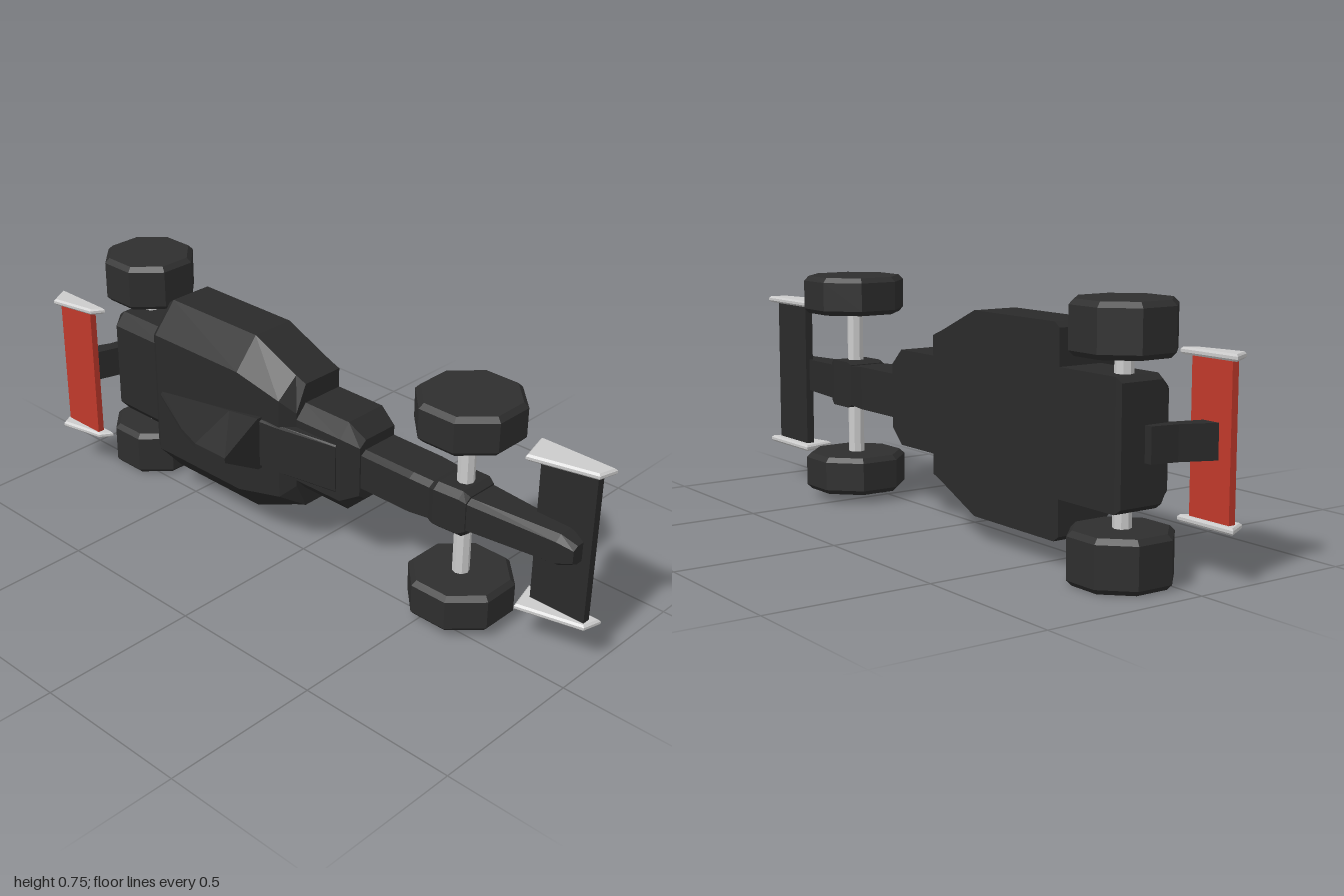
import * as THREE from 'three';

const MID = 0.377; // centre line of the car, which lies with its roof towards +z

const paint = (color) => new THREE.MeshStandardMaterial({ color, flatShading: true });

export function createModel() {
  const car = new THREE.Group();
  car.name = 'racingCar';
  const dark = paint(0x2a2a2a), tyre = paint(0x2e2e2e), red = paint(0xc0392b), grey = paint(0xcccccc);

  const add = (name, geometry, material, x = 0, y = MID, z = 0) => {
    const mesh = new THREE.Mesh(geometry, material);
    mesh.name = name;
    mesh.position.set(x, y, z);
    car.add(mesh);
    return mesh;
  };

  // Skin over chamfered sections: [x, half width, roof half width, floor z, shoulder z, roof z]
  const loft = (stations) => {
    const rings = stations.map(([x, w, t, zb, zs, zt]) =>
      [[-w, zb], [w, zb], [w, zs], [t, zt], [-t, zt], [-w, zs]].map(([y, z]) => [x, y, z]));
    const n = 6, index = [];
    for (let i = 0; i < rings.length - 1; i++) {
      for (let j = 0; j < n; j++) {
        const k = (j + 1) % n, a = i * n + j, b = i * n + k;
        index.push(a, b, b + n, a, b + n, a + n);
      }
    }
    const last = (rings.length - 1) * n;
    for (let j = 1; j < n - 1; j++) {
      index.push(0, j + 1, j, last, last + j, last + j + 1);
    }
    const g = new THREE.BufferGeometry();
    g.setAttribute('position', new THREE.Float32BufferAttribute(rings.flat(2), 3));
    g.setIndex(index);
    const flat = g.toNonIndexed();
    flat.computeVertexNormals();
    return flat;
  };

  // Side profile in x and z, given a thickness across the car
  const plate = (points, width, bevel = 0) => {
    const shape = new THREE.Shape(points.map(([x, z]) => new THREE.Vector2(x, z)));
    const depth = width - 2 * bevel;
    const g = new THREE.ExtrudeGeometry(shape, {
      depth, bevelEnabled: bevel > 0, bevelThickness: bevel, bevelSize: bevel,
      bevelOffset: -bevel, bevelSegments: 1,
    });
    g.translate(0, 0, -depth / 2);
    g.rotateX(Math.PI / 2);
    return g;
  };

  // Body, tail and cockpit front
  add('mainBody', loft([
    [-0.59, 0.285, 0.195, -0.145, 0, 0.072],
    [-0.57, 0.30, 0.205, -0.145, 0, 0.083],
    [-0.2, 0.30, 0.205, -0.145, 0, 0.083],
    [-0.03, 0.225, 0.165, -0.145, 0, 0.075],
    [0.01, 0.21, 0.125, -0.145, 0, 0.04],
  ]), dark);
  add('tail', loft([
    [-0.84, 0.165, 0.125, -0.14, 0, 0.02],
    [-0.82, 0.18, 0.14, -0.145, 0, 0.037],
    [-0.58, 0.18, 0.14, -0.145, 0, 0.037],
  ]), dark);
  add('cockpitFront', loft([
    [0, 0.148, 0.105, -0.145, 0, 0.04],
    [0.185, 0.148, 0.105, -0.145, 0, 0.037],
    [0.235, 0.10, 0.08, -0.145, -0.02, 0.005],
  ]), dark);
  add('cockpitPanel', loft([
    [-0.1, 0.08, 0.075, 0.03, 0.08, 0.088],
    [-0.03, 0.08, 0.075, 0.03, 0.07, 0.08],
    [0.17, 0.08, 0.075, 0.02, 0.037, 0.041],
  ]), dark);
  add('engineCover', loft([
    [-0.55, 0.012, 0.004, 0.06, 0.082, 0.09],
    [-0.33, 0.048, 0.006, 0.06, 0.085, 0.198],
    [-0.23, 0.065, 0.008, 0.06, 0.09, 0.233],
    [-0.1, 0.088, 0.008, 0.06, 0.095, 0.233],
  ]), dark);

  // Nose with a collar around the front axle
  add('nose', loft([
    [0.2, 0.068, 0.055, -0.145, -0.02, 0],
    [0.42, 0.068, 0.055, -0.145, -0.02, 0],
    [0.62, 0.055, 0.042, -0.14, -0.04, -0.02],
    [0.9, 0.05, 0.034, -0.12, -0.07, -0.048],
    [0.95, 0.03, 0.02, -0.105, -0.08, -0.062],
  ]), dark);
  add('axleCollar', loft([
    [0.49, 0.066, 0.052, -0.143, -0.028, -0.006],
    [0.51, 0.074, 0.056, -0.145, -0.022, 0],
    [0.595, 0.074, 0.056, -0.145, -0.028, -0.006],
    [0.615, 0.06, 0.046, -0.14, -0.036, -0.016],
  ]), dark);

  // Eight-sided wheels and their axles
  const wheelSets = [
    { name: 'front', x: 0.56, r: 0.15, width: 0.12, outer: 0.35 },
    { name: 'rear', x: -0.78, r: 0.138, width: 0.148, outer: 0.377 },
  ];
  for (const { name, x, r, width, outer } of wheelSets) {
    const R = r / Math.cos(Math.PI / 8), h = width / 2, c = 0.015;
    const profile = [[0, -h], [R - c, -h], [R, -h + c], [R, h - c], [R - c, h], [0, h]];
    const g = new THREE.LatheGeometry(profile.map((p) => new THREE.Vector2(...p)), 8);
    g.rotateY(Math.PI / 8);
    for (const side of [-1, 1]) {
      add(name + 'Wheel', g, tyre, x, MID + side * (outer - h), -0.085);
    }
    add(name + 'Axle', new THREE.CylinderGeometry(0.026, 0.026, 0.5, 8), grey, x, MID, -0.082);
  }

  // Front wing
  add('frontWing', new THREE.BoxGeometry(0.185, 0.48, 0.026), dark, 0.878, MID, -0.128);
  const frontEnd = plate([[0.745, -0.165], [0.995, -0.165], [0.98, -0.105], [0.775, -0.055]], 0.02, 0.006);
  // Rear wing on a raked support
  add('rearWing', new THREE.BoxGeometry(0.15, 0.44, 0.022), red, -0.893, MID, 0.132);
  const rearEnd = plate([[-0.998, 0.108], [-0.96, 0.178], [-0.81, 0.148], [-0.785, 0.108]].reverse(), 0.02, 0.006);
  for (const side of [-1, 1]) {
    add('frontWingEndPlate', frontEnd, grey, 0, MID + side * 0.244);
    add('rearWingEndPlate', rearEnd, grey, 0, MID + side * 0.227);
  }
  add('rearWingSupport', plate(
    [[-0.8, -0.06], [-0.8, 0.02], [-0.835, 0.02], [-0.865, 0.124], [-0.925, 0.124], [-0.88, 0.02], [-0.865, -0.06]].reverse(),
    0.1), dark);

  return car;
}
